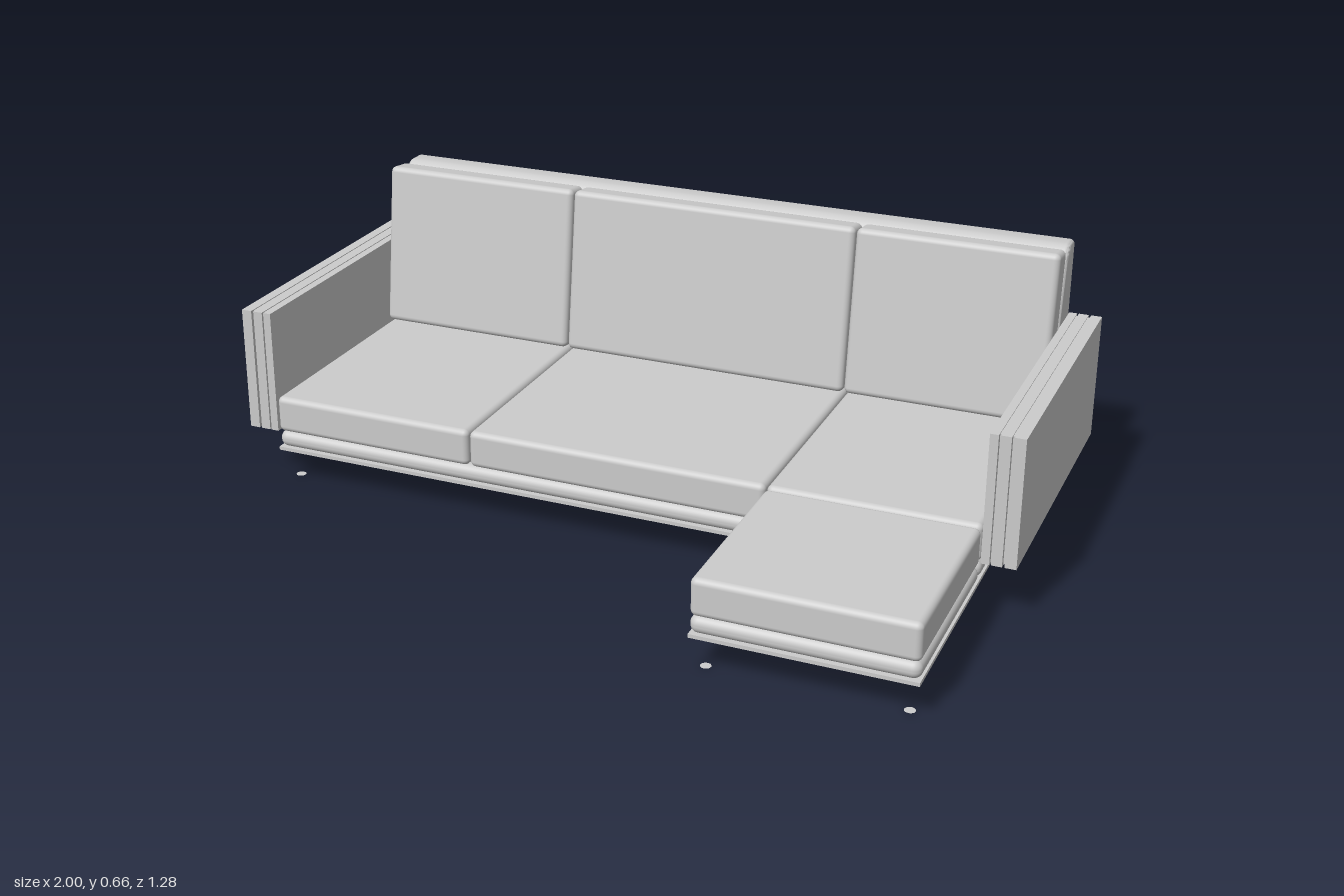
import * as THREE from 'three';
import { RoundedBoxGeometry } from 'three/addons/geometries/RoundedBoxGeometry.js';
import { toCreasedNormals } from 'three/addons/utils/BufferGeometryUtils.js';

const mat = new THREE.MeshStandardMaterial({ color: 0xcccccc });
const thinMat = new THREE.MeshStandardMaterial({ color: 0xcccccc, side: THREE.DoubleSide });

export function createModel() {
  const model = new THREE.Group();

  const add = (name, geometry, material = mat) => {
    const mesh = new THREE.Mesh(geometry, material);
    mesh.name = name;
    model.add(mesh);
    return mesh;
  };
  // Box given by its limits on each axis; r > 0 rounds the edges
  const block = (name, [x0, x1], [y0, y1], [z0, z1], r = 0) => {
    const size = [x1 - x0, y1 - y0, z1 - z0];
    const geo = r ? new RoundedBoxGeometry(...size, 4, r) : new THREE.BoxGeometry(...size);
    const mesh = add(name, geo);
    mesh.position.set((x0 + x1) / 2, (y0 + y1) / 2, (z0 + z1) / 2);
    return mesh;
  };

  // L-shaped bottom plate (shape y becomes -z)
  const plate = new THREE.Shape([
    [-0.918, 0.64], [-0.918, -0.16], [0.402, -0.16],
    [0.402, -0.64], [0.918, -0.64], [0.918, 0.64],
  ].map(([x, y]) => new THREE.Vector2(x, y)));
  const plateGeo = new THREE.ExtrudeGeometry(plate, { depth: 0.009, bevelEnabled: false });
  plateGeo.rotateX(-Math.PI / 2);
  add('basePlate', plateGeo).position.y = 0.085;

  // Padded frames under the sofa and the chaise
  block('sofaFrame', [-0.918, 0.918], [0.094, 0.137], [-0.64, 0.16], 0.02);
  block('chaiseFrame', [0.402, 0.918], [0.094, 0.137], [0.162, 0.64], 0.02);

  // Seat cushions, with tilted back cushions above them
  const bays = [[-0.917, -0.373], [-0.37, 0.401], [0.404, 0.917]];
  for (const bay of bays) {
    block('seatCushion', bay, [0.137, 0.232], [-0.5, 0.16], 0.015);
    const back = block('backCushion', bay, [0.233, 0.663], [-0.522, -0.444], 0.015);
    back.position.y = 0.446;
    back.rotation.x = -0.125;
  }
  block('chaiseCushion', [0.404, 0.917], [0.137, 0.23], [0.163, 0.64], 0.015);

  // Backrest: vertical rear, sloping front, rounded along the edges (shape x is z)
  const b = 0.012;
  const side = new THREE.Shape();
  side.moveTo(-0.64 + b, 0.137 + b);
  side.lineTo(-0.475 - b, 0.137 + b);
  side.lineTo(-0.552 - b, 0.615);
  side.quadraticCurveTo(-0.56 - b, 0.655 - b, -0.582 - b, 0.655 - b);
  side.lineTo(-0.625, 0.655 - b);
  side.quadraticCurveTo(-0.64 + b, 0.655 - b, -0.64 + b, 0.632);
  side.closePath();
  const backGeo = new THREE.ExtrudeGeometry(side, {
    depth: 1.836 - 2 * b, bevelSize: b, bevelThickness: b, bevelSegments: 4, curveSegments: 8,
  });
  backGeo.translate(0, 0, -0.918 + b);
  backGeo.rotateY(-Math.PI / 2);
  // The turn sends shape x to +z and the extrusion to -x
  add('backrest', toCreasedNormals(backGeo, 0.6));

  // Arms: three slabs joined by a core set back at both ends
  for (const s of [-1, 1]) {
    const span = (a, c) => (s > 0 ? [a, c] : [-c, -a]);
    for (const [a, c] of [[0.918, 0.938], [0.942, 0.967], [0.973, 1]]) {
      block('armSlab', span(a, c), [0.138, 0.458], [-0.64, 0.16]);
    }
    block('armCore', span(0.93, 0.98), [0.14, 0.456], [-0.628, 0.148]);
  }

  // Flat floor pads below the corners
  for (const [x, z] of [[-0.89, 0.11], [-0.89, -0.6], [0.89, -0.6], [0.43, 0.6], [0.89, 0.6]]) {
    const pad = add('floorPad', new THREE.CircleGeometry(0.013, 12), thinMat);
    pad.rotation.x = -Math.PI / 2;
    pad.position.set(x, 0, z);
  }

  return model;
}
